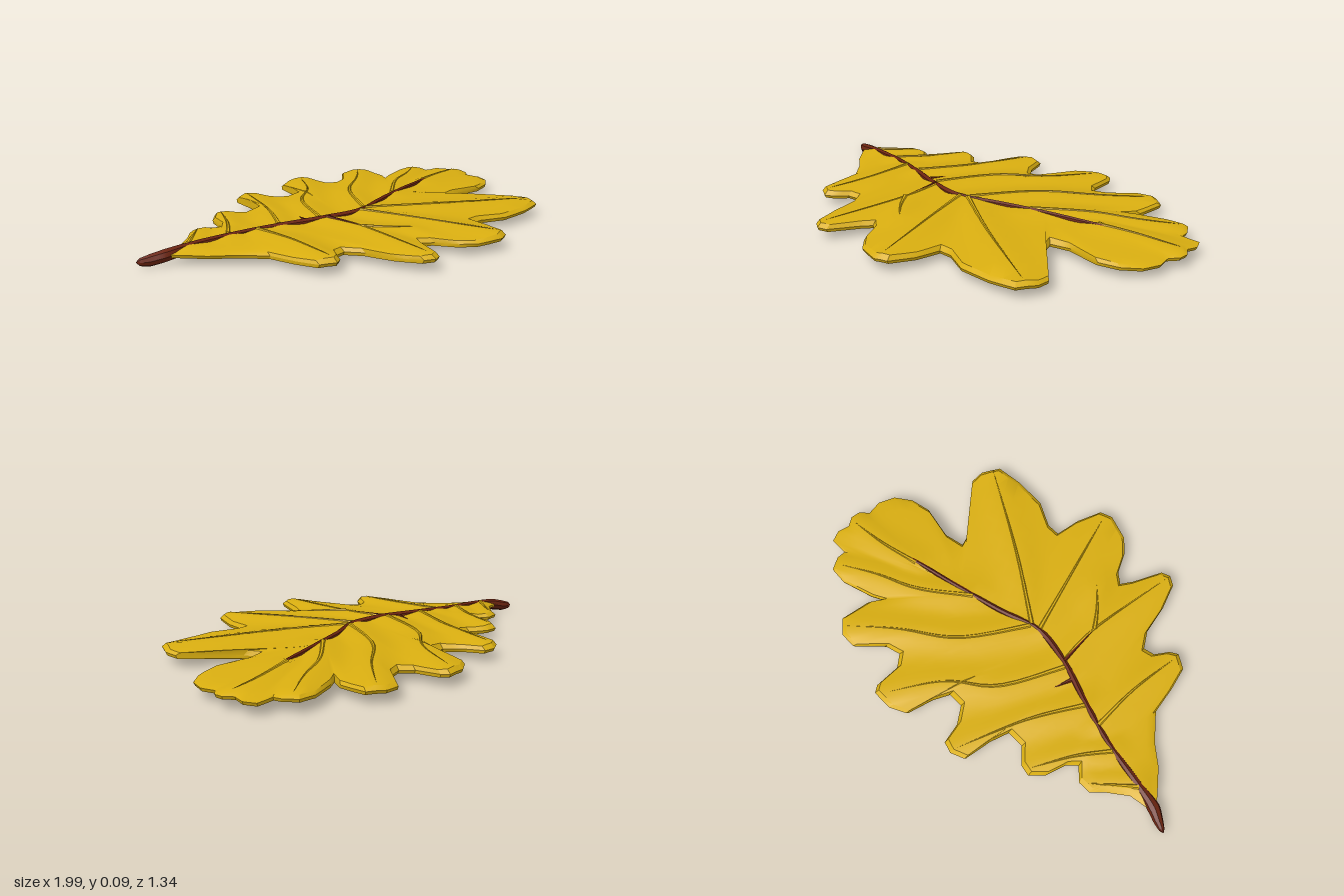
import * as THREE from 'three';
import { toCreasedNormals } from 'three/addons/utils/BufferGeometryUtils.js';

// Leaf margin from base to tip as [x, z], one row per lobe
const backEdge = [
  [-.92, -.2], [-.8, -.22], [-.72, -.28], [-.67, -.33], [-.61, -.33], [-.56, -.28],
  [-.52, -.32], [-.49, -.41], [-.44, -.46], [-.39, -.45], [-.33, -.39], [-.25, -.39],
  [-.22, -.48], [-.2, -.6], [-.14, -.625], [-.09, -.61], [-.07, -.52], [-.02, -.45], [.05, -.45],
  [.09, -.53], [.12, -.64], [.19, -.675], [.28, -.675], [.3, -.645], [.3, -.53], [.34, -.48],
  [.41, -.5], [.51, -.6], [.58, -.6], [.64, -.55], [.62, -.42], [.58, -.36],
  [.64, -.39], [.77, -.43], [.85, -.425], [.88, -.37], [.88, -.33],
  [.96, -.33], [.98, -.28], [.965, -.23], [.99, -.19],
];
const frontEdge = [
  [-.92, -.2], [-.88, -.14], [-.8, -.045], [-.72, .02], [-.63, .125],
  [-.61, .25], [-.585, .35], [-.525, .385], [-.49, .365], [-.45, .31], [-.4, .3],
  [-.355, .37], [-.33, .5], [-.29, .61], [-.25, .635], [-.21, .62], [-.15, .5], [-.115, .45],
  [-.07, .485], [-.025, .575], [.03, .63], [.14, .665], [.195, .645], [.24, .54], [.26, .43],
  [.32, .43], [.43, .485], [.575, .49], [.69, .475], [.735, .4], [.735, .34], [.64, .24], [.55, .14], [.53, .08],
  [.62, .06], [.77, .09], [.86, .07], [.93, .02], [.96, -.05], [.95, -.115], [.985, -.15], [.99, -.19],
];

// Midrib: x, y, z, half width, half height
const rib = [
  [-1, .025, -.23, 0, 0], [-.985, .024, -.224, .012, .016], [-.95, .027, -.208, .021, .025],
  [-.9, .038, -.185, .028, .027], [-.8, .05, -.165, .02, .024], [-.585, .055, -.125, .014, .027],
  [-.4, .058, -.07, .016, .031], [-.195, .06, 0, .017, .035], [-.02, .061, .025, .018, .034],
  [.16, .068, -.03, .014, .025], [.4, .072, -.09, .012, .022], [.62, .074, -.14, .01, .016],
  [.75, .07, -.185, 0, 0],
];

// Side veins as [x, z] paths from the midrib to the lobe tips
const veins = [
  [[-.8, -.17], [-.72, -.24], [-.64, -.31]],
  [[-.62, -.14], [-.52, -.27], [-.43, -.43]],
  [[-.4, -.08], [-.27, -.3], [-.15, -.59]],
  [[-.22, -.02], [-.08, -.28], [.1, -.43], [.24, -.64]],
  [[.02, .01], [.2, -.25], [.42, -.41], [.59, -.56]],
  [[.3, -.07], [.5, -.22], [.68, -.3], [.84, -.39]],
  [[.6, -.14], [.78, -.18], [.95, -.2]],
  [[-.5, -.1], [-.5, .12], [-.53, .35]],
  [[-.2, 0], [-.19, .2], [-.25, .6]],
  [[-.19, .2], [-.13, .28], [-.05, .36]],
  [[-.02, .03], [.06, .3], [.16, .63]],
  [[.02, .02], [.32, .22], [.7, .44]],
];

function veinDistance(x, z) {
  let best = 9;
  for (const path of veins) for (let i = 1; i < path.length; i++) {
    const [ax, az] = path[i - 1], [bx, bz] = path[i];
    const dx = bx - ax, dz = bz - az;
    const t = THREE.MathUtils.clamp(((x - ax) * dx + (z - az) * dz) / (dx * dx + dz * dz), 0, 1);
    best = Math.min(best, Math.hypot(x - ax - t * dx, z - az - t * dz));
  }
  return best;
}
const swell = (x, z) => Math.exp(-((veinDistance(x, z) / 0.07) ** 2));
const topY = (x, z) => 0.076 - 0.02 * (x - 0.2) ** 2 - 0.02 * z * z + 0.014 * swell(x, z);
const bottomY = (x, z) => 0.027 + 0.012 * x * x * (x > 0 ? 1 : 0.3) + 0.02 * z * z + 0.006 * swell(x, z);

function ribZ(x) {
  const i = Math.max(1, rib.findIndex(p => p[0] >= x));
  const a = rib[i - 1], b = rib[i];
  return THREE.MathUtils.lerp(a[2], b[2], (x - a[0]) / (b[0] - a[0]));
}

// Joins rows of points into a surface; each row is one cross-section
function loft(rows, closed) {
  const n = rows[0].length, index = [];
  for (let i = 0; i < rows.length - (closed ? 0 : 1); i++) {
    const p = i * n, q = ((i + 1) % rows.length) * n;
    for (let k = 0; k < n - 1; k++) index.push(p + k, q + k, q + k + 1, p + k, q + k + 1, p + k + 1);
  }
  const geo = new THREE.BufferGeometry();
  geo.setAttribute('position', new THREE.Float32BufferAttribute(rows.flat(2), 3));
  geo.setIndex(index);
  return toCreasedNormals(geo, 0.5);
}

// Tapered rod along a curve; size(t) gives half width and half height
function rod(points, size, steps, sides) {
  const curve = new THREE.CatmullRomCurve3(points.map(p => new THREE.Vector3(p[0], p[1], p[2])));
  const up = new THREE.Vector3(0, 1, 0), rows = [];
  for (let i = 0; i <= steps; i++) {
    const t = i / steps, c = curve.getPoint(t), [w, h] = size(t);
    const side = curve.getTangent(t).cross(up).normalize();
    rows.push(Array.from({ length: sides + 1 }, (_, j) => {
      const a = (j / sides) * Math.PI * 2;
      return [c.x + side.x * Math.cos(a) * w, c.y + Math.sin(a) * h, c.z + side.z * Math.cos(a) * w];
    }));
  }
  return loft(rows, false);
}

// Each margin point with its foot on the midrib, swept back toward the base
function rays(edge) {
  const out = [];
  let foot = -1;
  edge.forEach(([x, z], i) => {
    const [nx, nz] = edge[i + 1] ?? [x, z];
    for (const s of i < edge.length - 1 ? [0, 0.5] : [0]) {
      const px = x + (nx - x) * s, pz = z + (nz - z) * s;
      foot = Math.max(foot, 0.7 * px - 0.15);
      out.push([foot, ribZ(foot), px, pz]);
    }
  });
  return out;
}

function bladeGeometry() {
  const loop = [...rays(backEdge), ...rays(frontEdge).reverse().slice(1, -1)];
  const rows = loop.map(([fx, fz, px, pz]) => {
    const len = Math.hypot(px - fx, pz - fz);
    const at = t => [fx + (px - fx) * t, fz + (pz - fz) * t];
    const rim = 1 - Math.min(0.2, 0.02 / len), under = 1 - Math.min(0.1, 0.007 / len);
    const spans = [0, 0.12, 0.25, 0.38, 0.5, 0.62, 0.74, 0.86, 1];
    const top = spans.map(s => {
      const [x, z] = at(s * rim);
      return [x, topY(x, z) - 0.008 * s ** 3, z];
    });
    const bottom = spans.map(s => {
      const [x, z] = at(s * under);
      return [x, bottomY(x, z), z];
    }).reverse();
    return [...top, [px, bottomY(px, pz) + 0.014, pz], ...bottom];
  });
  return loft(rows, true);
}

export function createModel() {
  const gold = new THREE.MeshStandardMaterial({ color: 0xd9ae10 });
  gold.name = 'golden leaf';
  const brown = new THREE.MeshStandardMaterial({ color: 0x6b2410 });
  brown.name = 'brown stem';

  const group = new THREE.Group();
  group.name = 'leaf';
  const add = (name, geo, mat) => {
    const mesh = new THREE.Mesh(geo, mat);
    mesh.name = name;
    group.add(mesh);
  };

  add('blade', bladeGeometry(), gold);

  // Stem and midrib in one tapering rod
  add('midrib', rod(rib, t => {
    const f = t * (rib.length - 1), i = Math.min(Math.floor(f), rib.length - 2);
    return [3, 4].map(k => THREE.MathUtils.lerp(rib[i][k], rib[i + 1][k], f - i));
  }, 72, 8), brown);

  // Raised side veins lying on the blade
  const onTop = path => {
    const flat = new THREE.SplineCurve(path.map(p => new THREE.Vector2(...p)));
    return flat.getPoints(10).map(p => [p.x, topY(p.x, p.y) - 0.002, p.y]);
  };
  veins.forEach((path, i) => add('sideVein' + (i + 1),
    rod(onTop(path), t => [0.011 * (1 - t), 0.008 * (1 - t)], 16, 6), gold));

  // Brown branches leaving the midrib
  [[[-.2, 0], [-.195, .1], [-.19, .22]], [[-.28, -.04], [-.265, -.08], [-.25, -.12]]].forEach((path, i) =>
    add('brownVein' + (i + 1), rod(onTop(path), t => [0.01 * (1 - t * 0.9), 0.011 * (1 - t * 0.9)], 10, 6), brown));

  return group;
}
